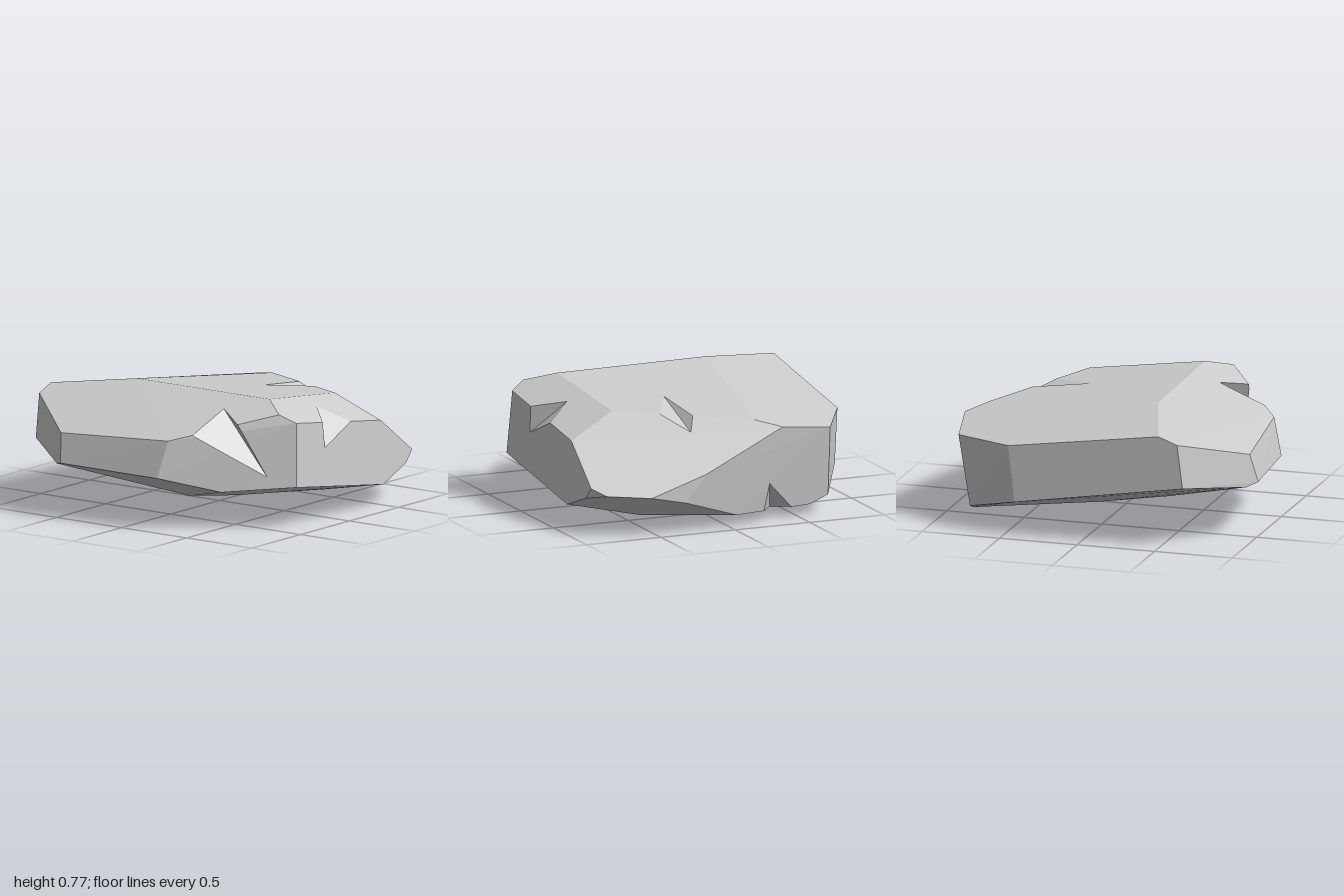
import * as THREE from 'three';
import { ConvexGeometry } from 'three/addons/geometries/ConvexGeometry.js';

const v = (p) => new THREE.Vector3(...p);

// Keeps the part of a convex polygon on the back of a plane (side = 1) or on its front (side = -1)
function clip(poly, plane, side = 1) {
  const out = [];
  poly.forEach((p, i) => {
    const q = poly[(i + 1) % poly.length];
    const dp = plane.distanceToPoint(p) * side;
    const dq = plane.distanceToPoint(q) * side;
    if (dp <= 1e-6) out.push(p);
    if ((dp < -1e-6 && dq > 1e-6) || (dp > 1e-6 && dq < -1e-6)) {
      out.push(p.clone().lerp(q, dp / (dp - dq)));
    }
  });
  return out.length > 2 ? out : [];
}

// Plane through three points, turned so that `inside` lies behind it
function planeWith(a, b, c, inside) {
  const plane = new THREE.Plane().setFromCoplanarPoints(a, b, c);
  return plane.distanceToPoint(inside) > 0 ? plane.negate() : plane;
}

// Corners of the worn stone
const topCorners = [
  [-0.385, 0.775, 0.33], [0.62, 0.77, 0.31], [0.57, 0.68, -0.42], [-0.21, 0.637, -0.82],
  [-0.92, 0.71, 0.5], [-0.92, 0.572, -0.47], [-0.7, 0.552, -0.86], [-0.35, 0.602, -0.93],
  [0.79, 0.715, 0.44], [0.885, 0.665, 0.39], [0.875, 0.535, -0.485],
];
const sideCorners = [
  [-0.92, 0.665, 0.62], [-0.5, 0.525, 0.955], [0.26, 0.555, 0.87],
  [-0.92, 0.39, 0.655], [-0.54, 0.325, 0.945], [-0.47, 0.345, 1], [0.22, 0.325, 0.93],
  [0.54, 0.24, 0.7], [0.91, 0.27, 0.42], [0.9, 0.135, -0.48], [0.885, 0.225, -0.73],
  [0.88, 0.3, -0.8], [0.81, 0.26, -0.88], [0.56, 0.25, -1], [0.19, 0.37, -1],
];
const bottomCorners = [
  [0.33, 0.2, -1], [-0.05, 0.07, -0.91], [0.43, 0.035, -0.54], [-0.02, 0, -0.18],
  [-0.02, 0.075, 0.28], [-0.92, 0.215, -0.43], [-0.72, 0.11, -0.78], [-0.59, 0.065, -0.8],
];

// Chips: both ends of the deep crease, then the two points where the chip meets the stone's edge
const chips = [
  [[0.39, 0.71, 0.475], [0.77, 0.325, 0.525], [0.38, 0.59, 0.77], [0.59, 0.655, 0.6]],
  [[0.705, 0.68, -0.055], [0.89, 0.465, 0.105], [0.88, 0.625, 0.115], [0.885, 0.58, -0.185]],
  [[0.18, 0.578, -0.725], [0.158, 0.7, -0.275], [0.13, 0.655, -0.646], [0.31, 0.665, -0.553]],
  [[-0.28, 0.24, -0.89], [-0.357, 0.055, -0.715], [-0.25, 0.068, -0.87], [-0.455, 0.066, -0.83]],
];

export function createModel() {
  const hull = new ConvexGeometry([...topCorners, ...sideCorners, ...bottomCorners].map(v));
  const pos = hull.getAttribute('position');
  const centre = new THREE.Vector3(0, 0.38, 0);
  let faces = [];
  const hullPlanes = [];
  for (let i = 0; i < pos.count; i += 3) {
    const tri = [0, 1, 2].map((k) => new THREE.Vector3().fromBufferAttribute(pos, i + k));
    faces.push(tri);
    hullPlanes.push(planeWith(...tri, centre));
  }

  // Cut each wedge-shaped chip out of the skin and line it with two walls
  const walls = [];
  for (const chip of chips) {
    const [a, b, e1, e2] = chip.map(v);
    const p1 = planeWith(a, b, e1, e2);
    const p2 = planeWith(a, b, e2, e1);
    faces = faces.flatMap((f) => {
      const inside = clip(f, p1);
      if (!inside.length || !clip(inside, p2).length) return [f];
      return [clip(f, p1, -1), clip(inside, p2, -1)].filter((g) => g.length);
    });
    const along = b.clone().sub(a).normalize();
    for (const [edge, plane] of [[e1, p1], [e2, p2]]) {
      const out = edge.clone().sub(a);
      out.addScaledVector(along, -out.dot(along)).normalize();
      const corner = (s, t) => a.clone().addScaledVector(along, s).addScaledVector(out, t);
      let wall = [corner(-3, 0), corner(3, 0), corner(3, 3), corner(-3, 3)];
      if (along.clone().cross(out).dot(plane.normal) > 0) wall.reverse();
      for (const h of hullPlanes) wall = clip(wall, h);
      if (wall.length) walls.push(wall);
    }
  }

  // Fan every polygon into triangles
  const points = [];
  for (const f of [...faces, ...walls]) {
    for (let i = 1; i < f.length - 1; i++) points.push(f[0], f[i], f[i + 1]);
  }
  const geometry = new THREE.BufferGeometry().setFromPoints(points);
  geometry.computeVertexNormals();

  const rock = new THREE.Mesh(
    geometry,
    new THREE.MeshStandardMaterial({ color: 0xcccccc, flatShading: true }),
  );
  rock.name = 'rock';
  const group = new THREE.Group();
  group.name = 'chippedRock';
  group.add(rock);
  return group;
}
